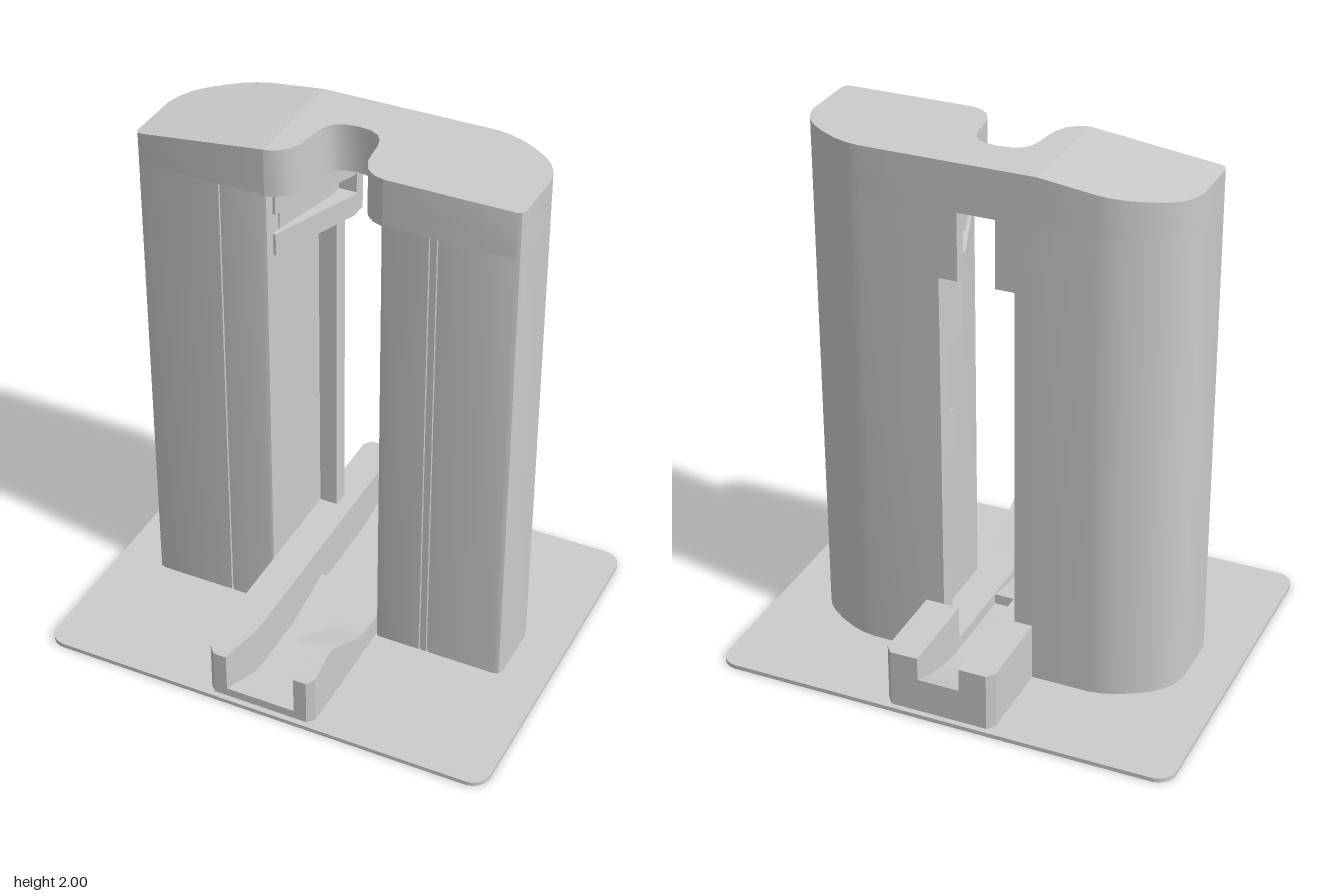
import * as THREE from 'three';
import { toCreasedNormals } from 'three/addons/utils/BufferGeometryUtils.js';

const material = new THREE.MeshStandardMaterial({ color: 0xcccccc });

function addMesh(parent, name, geometry) {
  const mesh = new THREE.Mesh(toCreasedNormals(geometry, 0.6), material);
  mesh.name = name;
  parent.add(mesh);
  return mesh;
}

// Plan outline of [x, z] points raised from y0 to y1; s = -1 mirrors it in x
function slab(points, y0, y1, s = 1) {
  const shape = new THREE.Shape(points.map(([x, z]) => new THREE.Vector2(s * x, -z)));
  const g = new THREE.ExtrudeGeometry(shape, { depth: y1 - y0, bevelEnabled: false });
  return g.rotateX(-Math.PI / 2).translate(0, y0, 0);
}

// Rounded rectangle [a, b] points
function roundedRect(w, d, r, n = 8) {
  const pts = [];
  [[1, 1], [-1, 1], [-1, -1], [1, -1]].forEach(([sx, sy], c) => {
    for (let i = 0; i <= n; i++) {
      const a = (c + i / n) * Math.PI / 2;
      pts.push([sx * (w / 2 - r) + r * Math.cos(a), sy * (d / 2 - r) + r * Math.sin(a)]);
    }
  });
  return pts;
}

// Box sections [z, x0, x1, y0, y1] joined front to back (z falling)
function loft(sections) {
  const pos = [], index = [];
  for (const [z, x0, x1, y0, y1] of sections) pos.push(x0, y0, z, x1, y0, z, x1, y1, z, x0, y1, z);
  const last = (sections.length - 1) * 4;
  for (let i = 0; i < last; i += 4) {
    for (let k = 0; k < 4; k++) {
      const a = i + k, b = i + (k + 1) % 4;
      index.push(a, a + 4, b, b, a + 4, b + 4);
    }
  }
  index.push(0, 1, 2, 0, 2, 3, last, last + 2, last + 1, last, last + 3, last + 2);
  const g = new THREE.BufferGeometry();
  g.setAttribute('position', new THREE.Float32BufferAttribute(pos, 3));
  g.setIndex(index);
  return g;
}

// Rounded outer back corner shared by towers and cap
const outerCurve = [
  [0.69, 0.14], [0.707, 0.133], [0.715, 0.115], [0.715, -0.1], [0.7, -0.15],
  [0.675, -0.193], [0.64, -0.228], [0.59, -0.263], [0.53, -0.295], [0.48, -0.312], [0.43, -0.32],
];

export function createModel() {
  const model = new THREE.Group();
  model.name = 'wheelStand';

  addMesh(model, 'basePlate', slab(roundedRect(1.766, 1.384, 0.07), 0, 0.016));

  // Towers with a lip at the back and slim joints in the front face
  const groove = (x, w) => [[x, 0.14], [x, 0.13], [x + w, 0.13], [x + w, 0.14]];
  for (const s of [1, -1]) {
    const side = s > 0 ? 'left' : 'right';
    const joints = s > 0 ? [...groove(0.388, 0.008), ...groove(0.417, 0.008)] : groove(0.388, 0.008);
    const outline = [
      [0.21, 0.125], [0.215, 0.136], [0.228, 0.14], ...joints, ...outerCurve,
      [0.14, -0.32], [0.14, -0.25], [0.21, -0.25],
    ];
    addMesh(model, side + 'Tower', slab(outline, 0.01, 1.825, s));

    // Wheel guide: two tapering jaws with a recessed band between them
    const jaw = [[0.215, 0.1], [0.2, 0.1], [0.13, -0.09], [0.07, -0.25], [0.07, -0.32], [0.215, -0.32]];
    const band = [[0.215, 0.06], [0.205, 0.06], [0.14, -0.22], [0.14, -0.315], [0.215, -0.315]];
    addMesh(model, side + 'UpperJaw', slab(jaw, 1.73, 1.825, s));
    addMesh(model, side + 'LowerJaw', slab(jaw, 1.565, 1.65, s));
    addMesh(model, side + 'JawRecess', slab(band, 1.65, 1.73, s));
    addMesh(model, side + 'JawBack', slab([[0.07, -0.32], [0.07, -0.27], [0.2, -0.27], [0.2, -0.32]], 1.565, 1.825, s));
  }

  // Rounded handle and lock cover on the inner wall
  const pad = (name, h, d, depth, y, z) => {
    const shape = new THREE.Shape(roundedRect(d, h, d * 0.3).map(p => new THREE.Vector2(...p)));
    const g = new THREE.ExtrudeGeometry(shape, { depth, bevelEnabled: false });
    addMesh(model, name, g.rotateY(-Math.PI / 2)).position.set(0.212, y, z);
  };
  pad('handle', 0.31, 0.14, 0.034, 1.375, -0.12);
  pad('lockCover', 0.18, 0.14, 0.008, 0.83, -0.12);

  // Cap: notched bridge, plus a flat end and a sloping end
  const notch = [
    [0.22, 0.14], [0.18, 0.128], [0.147, 0.1], [0.125, 0.055], [0.118, 0.01],
    [0.112, -0.05], [0.1, -0.09], [0.08, -0.115], [0.05, -0.13],
  ];
  const mirrored = notch.map(([x, z]) => [-x, z]).reverse();
  const cap = new THREE.Group();
  cap.name = 'cap';
  model.add(cap);
  addMesh(cap, 'capBridge', slab([...notch, [0, -0.137], ...mirrored, [-0.22, -0.32], [0.22, -0.32]], 1.82, 2));
  const endOutline = [[0.22, 0.14], ...outerCurve, [0.22, -0.32]];
  addMesh(cap, 'capLeftEnd', slab(endOutline, 1.82, 2));
  const slope = slab(endOutline, 1.82, 2, -1);
  const p = slope.attributes.position;
  for (let i = 0; i < p.count; i++) {
    if (p.getY(i) > 1.9) p.setY(i, 2 - 0.06 * (-p.getX(i) - 0.22) / 0.495);
  }
  slope.computeVertexNormals();
  addMesh(cap, 'capRightEnd', slope);

  // Wheel channel: a tall rail, a rail that dips between the towers, and the floor
  const rail = new THREE.Group();
  rail.name = 'wheelChannel';
  model.add(rail);
  const front = [[0.67, 0.135, 0.185, 0.2], [0.645, 0.125, 0.21, 0.21], [0.55, 0.085, 0.21, 0.24], [0.5, 0.08, 0.21, 0.24]];
  const back = [[-0.36, 0.08, 0.21, 0.24], [-0.64, 0.08, 0.21, 0.24], [-0.67, 0.08, 0.185, 0.24]];
  const dip = [[0.28, 0.08, 0.21, 0.115], [0.22, 0.08, 0.21, 0.105], [-0.32, 0.08, 0.21, 0.105], [-0.321, 0.08, 0.21, 0.24]];
  addMesh(rail, 'leftRail', loft([...front, ...dip, ...back].map(([z, a, b, y]) => [z, a, b, 0.01, y])));
  addMesh(rail, 'rightRail', loft([...front, ...back].map(([z, a, b, y]) => [z, -b, -a, 0.01, y])));
  const floor = [
    [0.67, 0.136, 0.05], [0.55, 0.09, 0.05], [0.25, 0.085, 0.05], [0, 0.085, 0.1], [-0.001, 0.085, 0.06],
    [-0.37, 0.085, 0.06], [-0.48, 0.085, 0.08], [-0.58, 0.085, 0.11], [-0.67, 0.085, 0.15],
  ];
  addMesh(rail, 'channelFloor', loft(floor.map(([z, x, y]) => [z, -x, x, 0.01, y])));

  return model;
}
